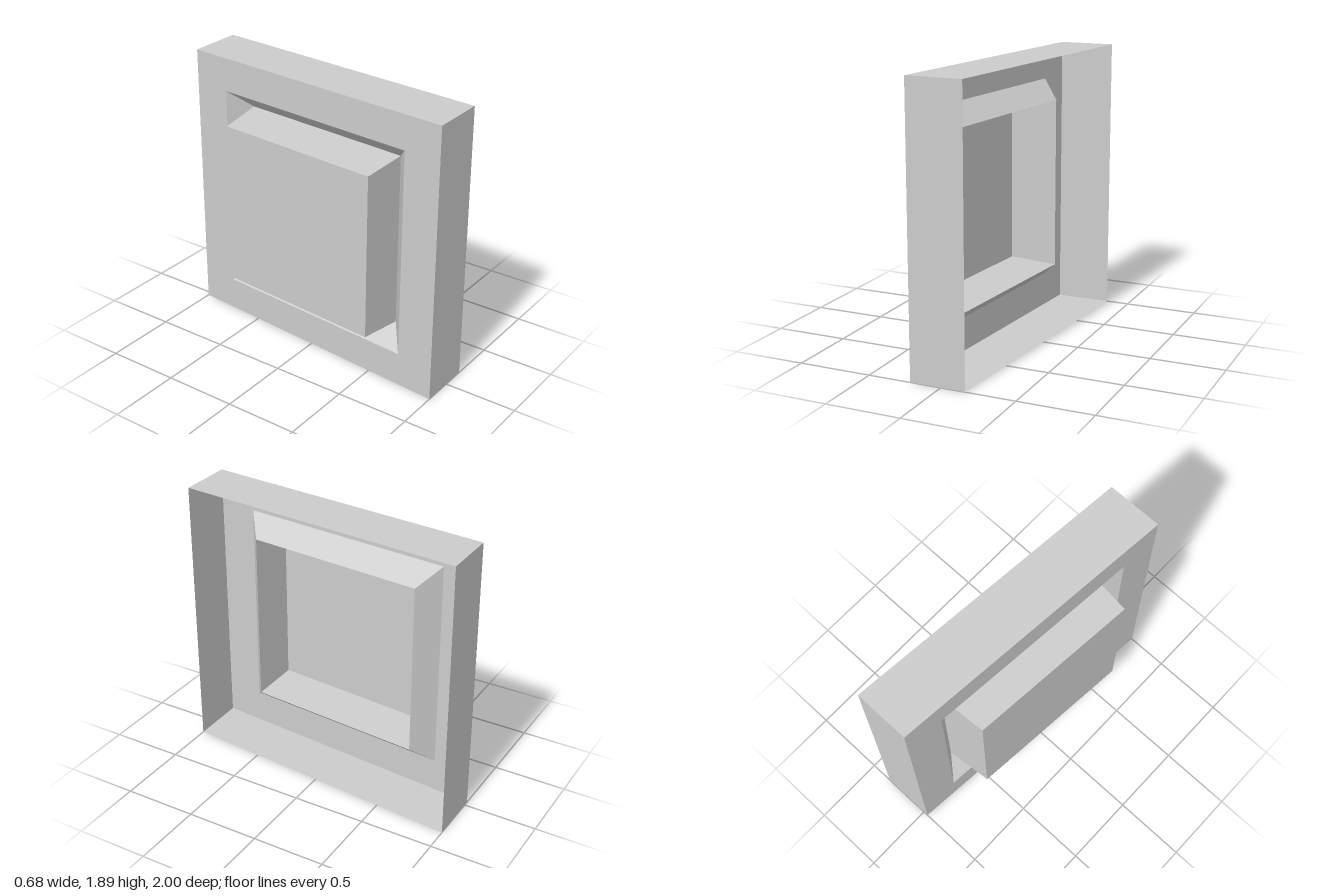
import * as THREE from 'three';

const MID = 0.945; // height of the centre line
const SHEAR = -0.0875; // sideways lean of x along z

const material = new THREE.MeshStandardMaterial({
  color: 0xcccccc, flatShading: true, side: THREE.DoubleSide,
});

// Corners of an upright rectangle at depth x, leaning with the shear
function corners([x, halfY, halfZ]) {
  return [[1, 1], [1, -1], [-1, -1], [-1, 1]].map(([sy, sz]) =>
    [x + SHEAR * sz * halfZ, MID + sy * halfY, sz * halfZ]);
}

// Thin sheet running through a series of rectangles, optionally closed at the end
function sheet(name, rects, closed = false) {
  const rings = rects.map(corners);
  const pos = [];
  const quad = (a, b, c, d) => pos.push(...a, ...b, ...c, ...a, ...c, ...d);
  for (let r = 0; r + 1 < rings.length; r++) {
    for (let i = 0; i < 4; i++) {
      const j = (i + 1) % 4;
      quad(rings[r][i], rings[r + 1][i], rings[r + 1][j], rings[r][j]);
    }
  }
  if (closed) {
    const [a, b, c, d] = rings[rings.length - 1];
    quad(a, d, c, b);
  }
  const geo = new THREE.BufferGeometry();
  geo.setAttribute('position', new THREE.Float32BufferAttribute(pos, 3));
  geo.computeVertexNormals();
  const mesh = new THREE.Mesh(geo, material);
  mesh.name = name;
  return mesh;
}

export function createModel() {
  const group = new THREE.Group();
  group.name = 'recessedPanel';

  // Rectangles as [depth x, half height, half width]
  const openEdge = [0.2525, 0.945, 1];
  const backEdge = [-0.1225, 0.945, 1];
  const opening = [-0.1225, 0.714, 0.74];
  const ridge = [0.025, 0.591, 0.616];
  const panel = [-0.293, 0.562, 0.588];

  group.add(
    sheet('outerWalls', [openEdge, backEdge]),
    sheet('backFrame', [backEdge, opening]),
    sheet('slopedMoulding', [opening, ridge]),
    sheet('protrudingTray', [ridge, panel], true), // tapered sides and flat panel
  );
  return group;
}
